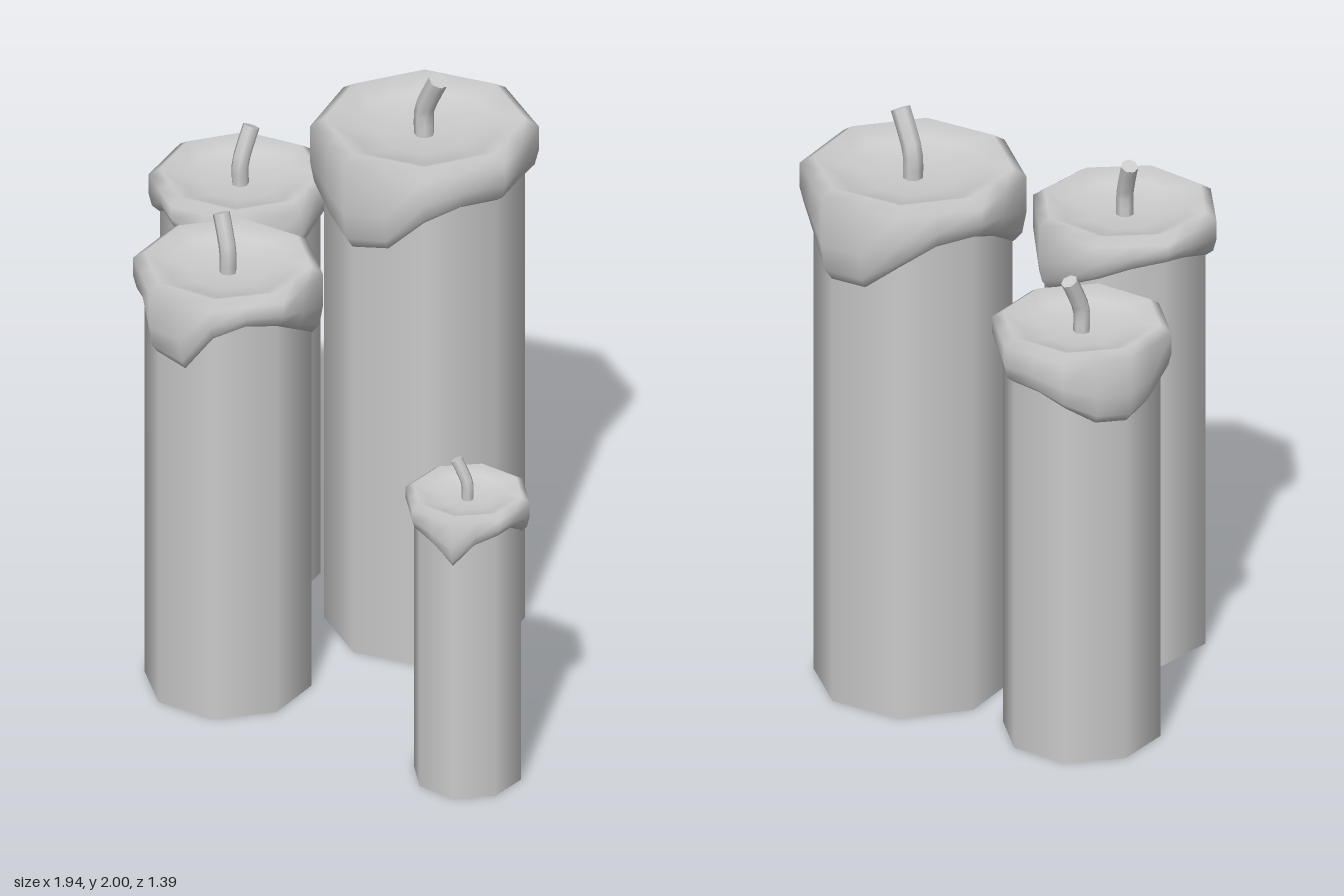
import * as THREE from 'three';
import { mergeVertices } from 'three/addons/utils/BufferGeometryUtils.js';

const material = new THREE.MeshStandardMaterial({ color: 0xcccccc });

function mesh(name, geometry) {
  const m = new THREE.Mesh(geometry, material);
  m.name = name;
  return m;
}

// Lower edge of the wax, 16 heights clockwise from the back (corner, mid-side, corner, ...)
const candles = [
  { name: 'tallCandle', x: -0.045, z: -0.335, height: 1.82, capR: 0.365, bodyR: 0.32, turn: 0,
    wick: { r: 0.033, dx: 0.065, dz: 0, top: 1.985 },
    hem: [1.5, 1.57, 1.63, 1.645, 1.65, 1.65, 1.62, 1.5, 1.48, 1.5, 1.56, 1.63, 1.68, 1.66, 1.6, 1.5] },
  { name: 'leftBackCandle', x: -0.68, z: -0.14, height: 1.455, capR: 0.293, bodyR: 0.257, turn: 4,
    wick: { r: 0.028, dx: 0, dz: -0.05, top: 1.6 },
    hem: [1.3, 1.32, 1.33, 1.3, 1.26, 1.2, 1.21, 1.26, 1.345, 1.35, 1.3, 1.22, 1.2, 1.2, 1.26, 1.29] },
  { name: 'frontCandle', x: -0.205, z: 0.39, height: 1.53, capR: 0.307, bodyR: 0.27, turn: 10,
    wick: { r: 0.028, dx: -0.045, dz: -0.015, top: 1.675 },
    hem: [1.28, 1.26, 1.29, 1.35, 1.41, 1.42, 1.39, 1.25, 1.28, 1.4, 1.38, 1.41, 1.43, 1.41, 1.38, 1.33] },
  { name: 'smallCandle', x: 0.77, z: 0.285, height: 1.03, capR: 0.204, bodyR: 0.177, turn: 15,
    wick: { r: 0.02, dx: -0.035, dz: 0.015, top: 1.135 },
    hem: [0.86, 0.855, 0.91, 0.95, 0.95, 0.92, 0.85, 0.9, 0.94, 0.94, 0.93, 0.94, 0.95, 0.95, 0.92, 0.89] },
];

// Dished wax cap: rings run from the centre over the rim and down to the dripping hem
function waxCap({ height, capR, bodyR, turn, hem }) {
  const n = hem.length, dish = capR * 0.15, rimDrop = capR * 0.08;
  const rings = [
    () => [0, height - dish],
    () => [capR * 0.4, height - dish * 0.95],
    () => [capR * 0.68, height - dish * 0.6],
    () => [capR * 0.88, height],
    () => [capR, height - rimDrop],
    (h) => [capR, h + (height - h) * 0.4],
    (h) => [bodyR + (capR - bodyR) * 0.7, h + (height - h) * 0.12],
    (h) => [bodyR * 1.01, h],
    (h) => [bodyR * 0.96, h + 0.02],
  ];
  const positions = [], index = [];
  rings.forEach((ring, r) => hem.forEach((h, i) => {
    const a = THREE.MathUtils.degToRad(turn) + (i / n) * Math.PI * 2;
    const [radius, y] = ring(h);
    // Mid-side points lie on the flats of the octagon
    const rad = radius * (i % 2 ? Math.cos(Math.PI / 8) : 1);
    positions.push(rad * Math.sin(a), y, -rad * Math.cos(a));
    if (r < rings.length - 1) {
      const j = (i + 1) % n, p = r * n, q = p + n;
      if (r > 0) index.push(p + i, p + j, q + j);
      index.push(p + i, q + j, q + i);
    }
  }));
  const g = new THREE.BufferGeometry();
  g.setAttribute('position', new THREE.Float32BufferAttribute(positions, 3));
  g.setIndex(index);
  const merged = mergeVertices(g, 1e-5);
  merged.computeVertexNormals();
  return merged;
}

// Bent wick with a flat end
function wick({ height, capR, wick: { r, dx, dz, top } }) {
  const base = height - capR * 0.17, rise = top - base;
  const curve = new THREE.CatmullRomCurve3([
    new THREE.Vector3(0, base, 0),
    new THREE.Vector3(0, base + rise * 0.4, 0),
    new THREE.Vector3(dx * 0.4, base + rise * 0.68, dz * 0.4),
    new THREE.Vector3(dx, top, dz),
  ]);
  const group = new THREE.Group();
  group.name = 'wick';
  const end = mesh('wickEnd', new THREE.CircleGeometry(r, 7));
  end.position.copy(curve.getPoint(1));
  end.quaternion.setFromUnitVectors(new THREE.Vector3(0, 0, 1), curve.getTangent(1));
  group.add(mesh('wickStem', new THREE.TubeGeometry(curve, 6, r, 7)), end);
  return group;
}

export function createModel() {
  const model = new THREE.Group();
  model.name = 'candles';
  for (const c of candles) {
    const candle = new THREE.Group();
    candle.name = c.name;
    candle.position.set(c.x, 0, c.z);
    // Eight-sided body, its top hidden inside the cap
    const bodyH = c.height - c.capR * 0.25;
    const body = mesh('body', new THREE.CylinderGeometry(c.bodyR, c.bodyR, bodyH, 8));
    body.position.y = bodyH / 2;
    body.rotation.y = -THREE.MathUtils.degToRad(c.turn);
    candle.add(body, mesh('waxCap', waxCap(c)), wick(c));
    model.add(candle);
  }
  return model;
}
